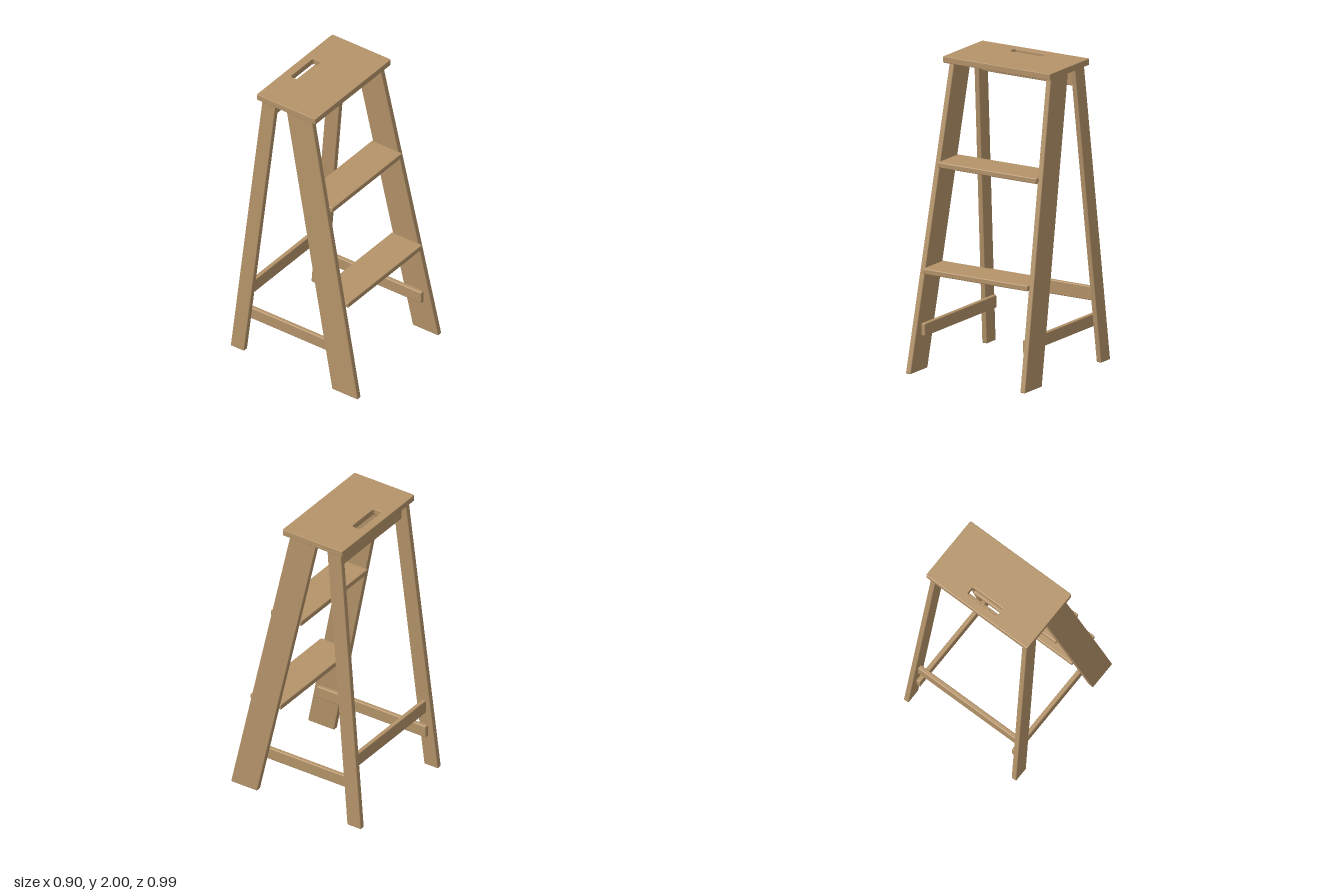
import * as THREE from 'three';
import { RoundedBoxGeometry } from 'three/addons/geometries/RoundedBoxGeometry.js';

const wood = new THREE.MeshStandardMaterial({ color: 0xb5946a });
const LEG_TOP = 1.956;

// Board with softly rounded edges, given by its extents
function board(name, x0, x1, y0, y1, z0, z1) {
  const geo = new RoundedBoxGeometry(x1 - x0, y1 - y0, z1 - z0, 2, 0.006);
  const mesh = new THREE.Mesh(geo, wood);
  mesh.name = name;
  mesh.position.set((x0 + x1) / 2, (y0 + y1) / 2, (z0 + z1) / 2);
  return mesh;
}

// Leg: a plank sheared inwards (x) and towards the seat (z), ends kept level
function leg(name, side, width, zBottom, zTop) {
  const geo = new RoundedBoxGeometry(0.037, LEG_TOP, width, 2, 0.006);
  geo.translate(0, LEG_TOP / 2, 0);
  const kx = (-0.067 * side) / LEG_TOP;
  const kz = (zTop - zBottom) / LEG_TOP;
  geo.applyMatrix4(new THREE.Matrix4().set(
    1, kx, 0, 0.43 * side,
    0, 1, 0, 0,
    0, kz, 1, zBottom,
    0, 0, 0, 1));
  const mesh = new THREE.Mesh(geo, wood);
  mesh.name = name;
  return mesh;
}

// Rounded rectangle outline
function roundedRect(path, cx, cy, w, h, r) {
  const x = w / 2 - r, y = h / 2 - r;
  path.absarc(cx + x, cy + y, r, 0, Math.PI / 2);
  path.absarc(cx - x, cy + y, r, Math.PI / 2, Math.PI);
  path.absarc(cx - x, cy - y, r, Math.PI, Math.PI * 1.5);
  path.absarc(cx + x, cy - y, r, Math.PI * 1.5, Math.PI * 2);
  path.closePath();
  return path;
}

// Top board with a hand slot near the back edge
function seat() {
  const b = 0.004;
  const shape = roundedRect(new THREE.Shape(), 0, 0.0935, 0.808 - 2 * b, 0.461 - 2 * b, 0.006);
  shape.holes.push(roundedRect(new THREE.Path(), 0, 0.234, 0.24 + 2 * b, 0.062 + 2 * b, 0.02));
  const geo = new THREE.ExtrudeGeometry(shape, {
    depth: 0.042 - 2 * b, bevelEnabled: true, bevelSize: b, bevelThickness: b,
    bevelSegments: 2, curveSegments: 6,
  });
  geo.rotateX(-Math.PI / 2);
  const mesh = new THREE.Mesh(geo, wood);
  mesh.name = 'seat';
  mesh.position.y = 1.958 + b;
  return mesh;
}

export function createModel() {
  const group = new THREE.Group();
  group.name = 'stepStool';
  group.add(seat());

  // Legs and side rails, mirrored
  for (const [label, s] of [['left', 1], ['right', -1]]) {
    group.add(leg(label + 'FrontLeg', s, 0.2, 0.4, -0.008));
    group.add(leg(label + 'BackLeg', s, 0.105, -0.443, -0.243));
    const x = 0.381 * s;
    group.add(board(label + 'SideRail', x - 0.015, x + 0.015, 0.233, 0.315, -0.433, 0.4));
  }

  // Treads
  group.add(board('lowerStep', -0.395, 0.395, 0.634, 0.67, 0.152, 0.388));
  group.add(board('upperStep', -0.372, 0.372, 1.301, 1.337, 0.012, 0.248));

  // Cross boards between the back legs
  group.add(board('backRail', -0.4, 0.4, 0.398, 0.49, -0.415, -0.385));
  group.add(board('backApron', -0.348, 0.348, 1.83, 1.945, -0.265, -0.235));
  return group;
}
